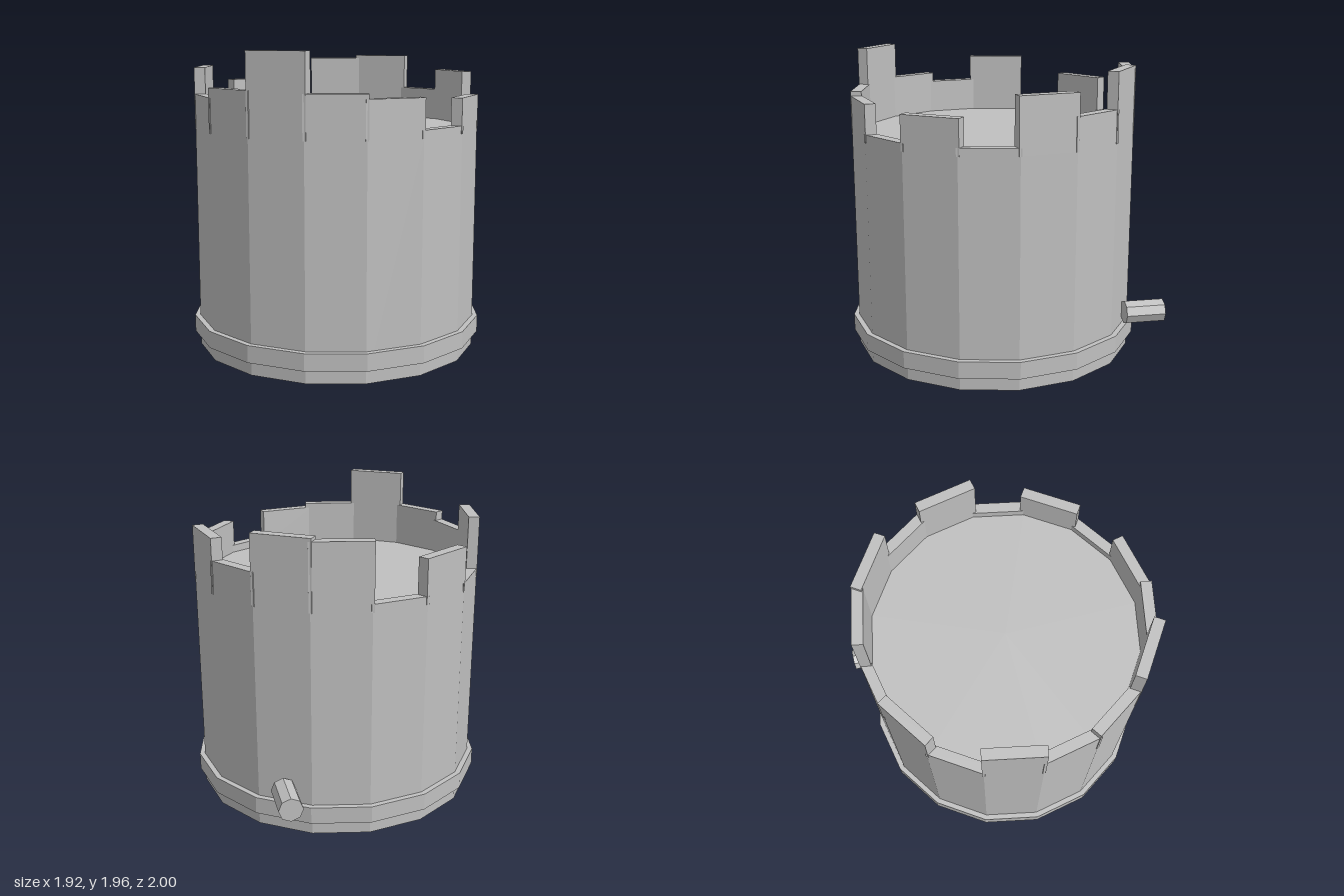
import * as THREE from 'three';

const SIDES = 16;
const BODY_R = 0.925;
const FLOOR_Y = 1.45;
const STEP = (Math.PI * 2) / SIDES;

// Wall top heights, one per side, starting at the front and turning towards +x
const TOPS = [
  1.69, 1.5, 1.67, 1.5, 1.8, 1.66, 1.89, 1.87,
  1.5, 1.73, 1.5, 1.84, 1.67, 1.73, 1.96, 1.72,
];

export function createModel() {
  const group = new THREE.Group();
  const stone = new THREE.MeshStandardMaterial({ color: 0xc0c0c0, flatShading: true });
  stone.name = 'grey stone';

  const add = (name, geometry, parent) => {
    const mesh = new THREE.Mesh(geometry, stone);
    mesh.name = name;
    parent.add(mesh);
    return mesh;
  };

  const tower = new THREE.Group();
  tower.name = 'tower';
  tower.position.z = 0.04;
  group.add(tower);

  // Tower body, closed by the roof floor
  add('towerBody', new THREE.CylinderGeometry(BODY_R, BODY_R, FLOOR_Y, SIDES), tower)
    .position.y = FLOOR_Y / 2;

  // Raised band near the foot
  add('baseBand', new THREE.CylinderGeometry(0.96, 0.96, 0.11, SIDES), tower)
    .position.y = 0.145;

  // Uneven battlements: one slab per side, flush with the body
  const thickness = 0.07;
  const mid = BODY_R * Math.cos(STEP / 2) - thickness / 2;
  const battlements = new THREE.Group();
  battlements.name = 'battlements';
  tower.add(battlements);
  TOPS.forEach((top, i) => {
    const angle = (i + 0.5) * STEP;
    const height = top - FLOOR_Y;
    const slab = add('battlement', new THREE.BoxGeometry(0.38, height, thickness), battlements);
    slab.position.set(Math.sin(angle) * mid, FLOOR_Y + height / 2, Math.cos(angle) * mid);
    slab.rotation.y = angle;
  });

  // Drain pipe sticking out of the back
  const pipe = add('drainPipe', new THREE.CylinderGeometry(0.077, 0.077, 0.26, 8), group);
  pipe.rotation.x = Math.PI / 2;
  pipe.position.set(0.52, 0.295, -0.87);

  return group;
}
